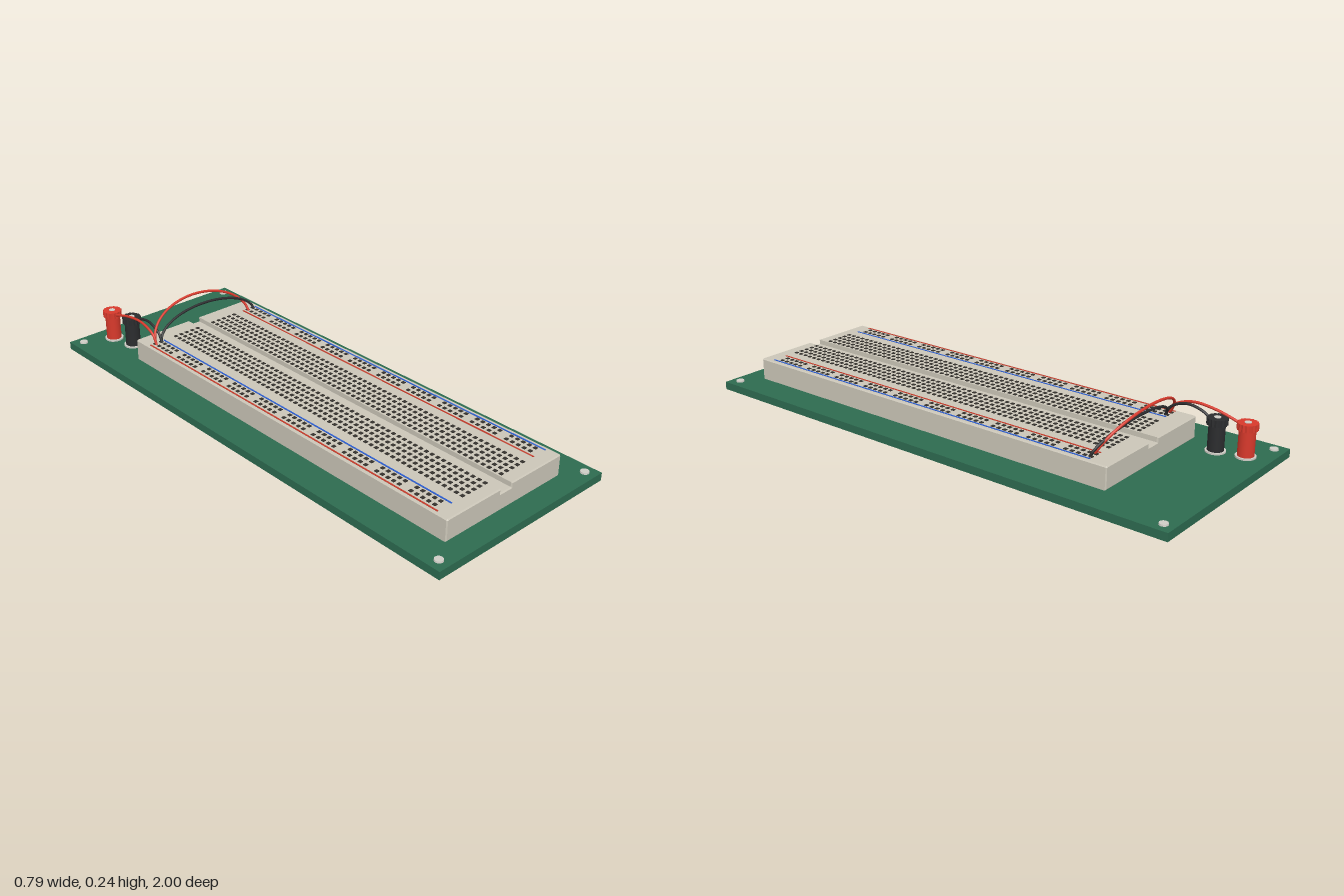
import * as THREE from 'three';
import { mergeGeometries } from 'three/addons/utils/BufferGeometryUtils.js';

const mat = (name, color) => {
  const m = new THREE.MeshStandardMaterial({ color });
  m.name = name;
  return m;
};

export function createModel() {
  const green = mat('board green', 0x2d6b50);
  const cream = mat('body cream', 0xcbc6b8);
  const dark = mat('hole dark', 0x35322e);
  const red = mat('red plastic', 0xd8392b);
  const black = mat('black plastic', 0x2b2c2e);
  const stripeRed = mat('stripe red', 0xc63a2a);
  const stripeBlue = mat('stripe blue', 0x2a5cd0);
  const metal = mat('metal', 0xcfcdc6);

  const model = new THREE.Group();
  const add = (name, geometry, material, x = 0, y = 0, z = 0, parent = model) => {
    const mesh = new THREE.Mesh(geometry, material);
    mesh.name = name;
    mesh.position.set(x, y, z);
    parent.add(mesh);
    return mesh;
  };

  // Base plate and corner screws
  add('basePlate', new THREE.BoxGeometry(0.79, 0.03, 2), green, 0, 0.015, 0);
  for (const x of [-0.355, 0.355])
    for (const z of [-0.96, 0.96])
      add('cornerScrew', new THREE.CylinderGeometry(0.015, 0.016, 0.006, 20), metal, x, 0.033, z);

  // Breadboard body: grooved cross-section extruded along z
  const top = 0.113, bevel = 0.004, zBack = -0.7, zFront = 0.915;
  const profile = new THREE.Shape([
    [-0.275, 0.03], [0.275, 0.03], [0.275, top - bevel], [0.271, top],
    [0.026, top], [0.026, 0.095], [-0.026, 0.095], [-0.026, top],
    [-0.271, top], [-0.275, top - bevel],
  ].map(([x, y]) => new THREE.Vector2(x, y)));
  add('breadboardBody', new THREE.ExtrudeGeometry(profile, {
    depth: zFront - zBack - 2 * bevel, bevelEnabled: true, bevelSegments: 1,
    bevelSize: bevel, bevelThickness: bevel, bevelOffset: -bevel,
  }), cream, 0, 0, zBack + bevel);

  // Contact holes
  const rows = 60, firstZ = -0.62, pitch = 1.48 / (rows - 1);
  const railX = [-0.243, -0.216, 0.215, 0.242];
  const terminalX = [];
  for (let i = 0; i < 5; i++) terminalX.push(-0.039 - i * 0.0265, 0.039 + i * 0.0265);
  const holeGrid = (columns, grouped) => {
    const parts = [];
    for (const x of columns)
      for (let r = 0; r < rows; r++) {
        if (grouped && r % 6 === 5) continue;
        parts.push(new THREE.BoxGeometry(0.0125, 0.003, 0.0125)
          .translate(x, top + 0.001, firstZ + r * pitch));
      }
    return mergeGeometries(parts);
  };
  add('terminalHoles', holeGrid(terminalX, false), dark);
  add('railHoles', holeGrid(railX, true), dark);

  // Power rail stripes
  for (const [x, m] of [[-0.262, stripeRed], [-0.199, stripeBlue], [0.196, stripeRed], [0.257, stripeBlue]])
    add('railStripe', new THREE.BoxGeometry(0.006, 0.002, 1.49), m, x, top + 0.0005, 0.12);

  // Binding posts
  const bindingPost = (name, material, x, z) => {
    const post = new THREE.Group();
    post.name = name;
    post.position.set(x, 0.03, z);
    model.add(post);
    add('washer', new THREE.CylinderGeometry(0.036, 0.036, 0.006, 28), metal, 0, 0.003, 0, post);
    add('stem', new THREE.CylinderGeometry(0.029, 0.029, 0.096, 28), material, 0, 0.053, 0, post);
    const knob = new THREE.Shape();
    for (let i = 0; i < 32; i++) {
      const a = (i / 32) * Math.PI * 2, r = i % 2 ? 0.034 : 0.037;
      knob[i ? 'lineTo' : 'moveTo'](Math.cos(a) * r, Math.sin(a) * r);
    }
    const knobGeometry = new THREE.ExtrudeGeometry(knob, { depth: 0.025, bevelEnabled: false });
    add('knob', knobGeometry.rotateX(-Math.PI / 2), material, 0, 0.099, 0, post);
    add('contact', new THREE.CylinderGeometry(0.012, 0.012, 0.004, 20), metal, 0, 0.124, 0, post);
  };
  bindingPost('redBindingPost', red, -0.241, -0.913);
  bindingPost('blackBindingPost', black, -0.218, -0.812);

  // Wires
  const wire = (name, points, material) => add(name, new THREE.TubeGeometry(
    new THREE.CatmullRomCurve3(points.map((p) => new THREE.Vector3(...p))), 64, 0.005, 10), material);

  const jumper = (name, material, x0, x1, height, lean) => {
    const points = [];
    for (let i = 0; i <= 16; i++) {
      const t = (i / 16) * Math.PI, s = Math.sin(t);
      points.push([(x0 + x1) / 2 - Math.cos(t) * (x1 - x0) / 2, 0.112 + height * s, -0.613 - lean * s]);
    }
    wire(name, points, material);
  };
  jumper('redJumper', red, -0.243, 0.215, 0.119, 0.068);
  jumper('blackJumper', black, -0.216, 0.242, 0.082, 0.04);

  const feed = (name, material, x, path) => wire(name, path.map(([y, z]) => [x, y, z]), material);
  feed('redFeedWire', red, -0.243,
    [[0.112, -0.611], [0.148, -0.632], [0.174, -0.7], [0.17, -0.78], [0.15, -0.86], [0.135, -0.9]]);
  feed('blackFeedWire', black, -0.217,
    [[0.112, -0.611], [0.148, -0.632], [0.173, -0.69], [0.164, -0.75], [0.135, -0.8]]);

  return model;
}
